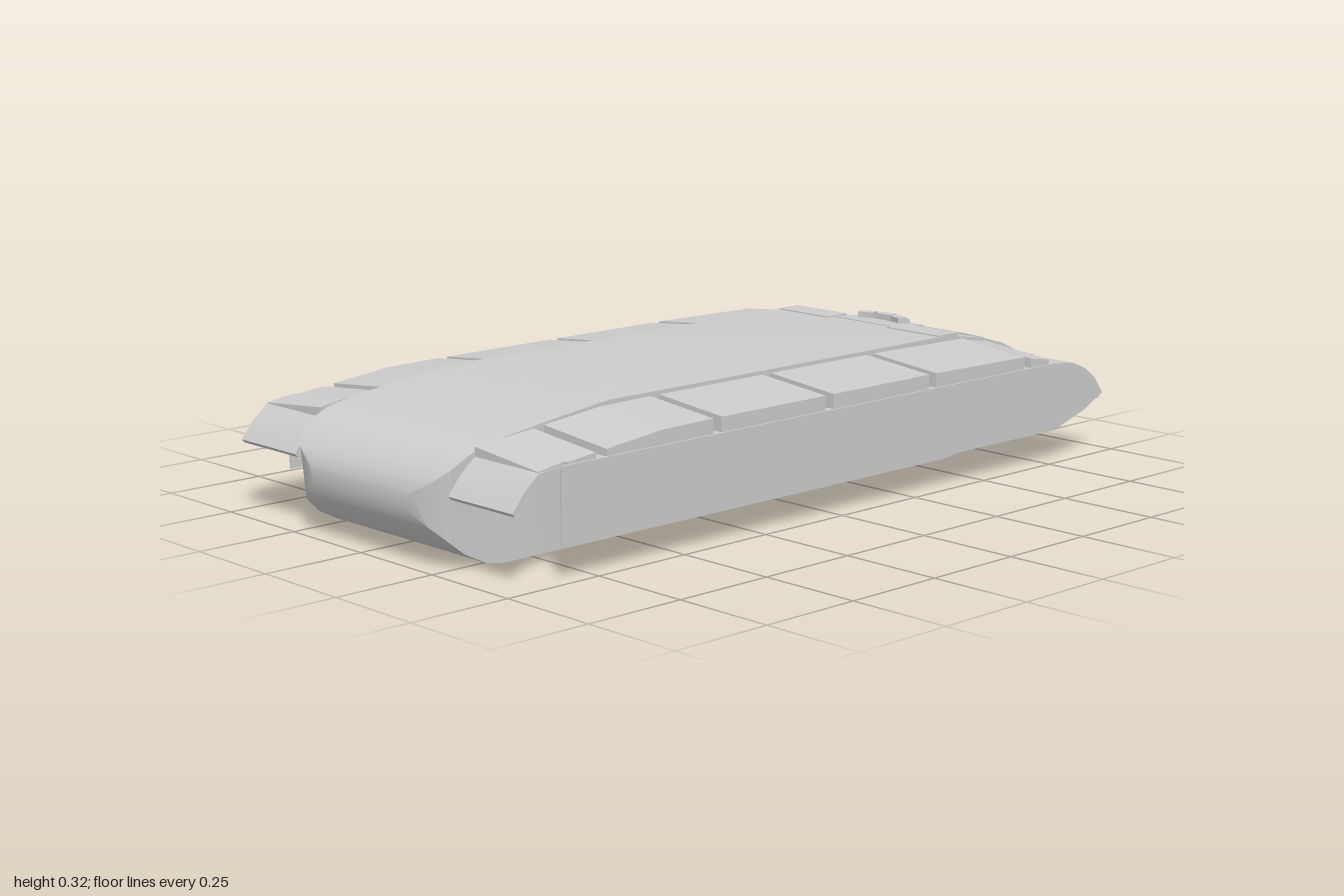
import * as THREE from 'three';
import { toCreasedNormals } from 'three/addons/utils/BufferGeometryUtils.js';

const mat = new THREE.MeshStandardMaterial({ color: 0xcccccc, side: THREE.DoubleSide });

function add(parent, name, geo) {
  const mesh = new THREE.Mesh(geo, mat);
  mesh.name = name;
  parent.add(mesh);
  return mesh;
}

// Solid through box sections along x: [x, top, bottom, halfWidth top, halfWidth bottom]
function loft(stations, zc = 0) {
  const pos = [], idx = [];
  for (const [x, t, b, w, wb = w] of stations) {
    pos.push(x, t, zc - w, x, t, zc + w, x, b, zc + wb, x, b, zc - wb);
  }
  const last = (stations.length - 1) * 4;
  for (let i = 0; i < last; i += 4) {
    for (let k = 0; k < 4; k++) {
      const a = i + k, b = i + (k + 1) % 4;
      idx.push(a, b, b + 4, a, b + 4, a + 4);
    }
  }
  idx.push(0, 2, 1, 0, 3, 2, last, last + 1, last + 2, last, last + 2, last + 3);
  const g = new THREE.BufferGeometry();
  g.setAttribute('position', new THREE.Float32BufferAttribute(pos, 3));
  g.setIndex(idx);
  return toCreasedNormals(g, 0.5);
}

// Outline in x/y pulled along z from z0 to z1
function slab(points, z0, z1) {
  const shape = new THREE.Shape(points.map(p => new THREE.Vector2(...p)));
  const g = new THREE.ExtrudeGeometry(shape, { depth: z1 - z0, bevelEnabled: false });
  g.translate(0, 0, z0);
  return toCreasedNormals(g, 0.5);
}

// Raised fender panel whose top slopes down to the outer edge
function panel(x0, x1, y0, y1, side) {
  const g = new THREE.BoxGeometry(x1 - x0, 1, 0.205);
  const p = g.attributes.position;
  for (let i = 0; i < p.count; i++) {
    const front = p.getX(i) > 0, outer = p.getZ(i) * side > 0;
    const top = (front ? y1 : y0) + (outer ? 0 : 0.02);
    p.setXYZ(i, front ? x1 : x0, p.getY(i) > 0 ? top : 0.245, side * (outer ? 0.482 : 0.277));
  }
  g.computeVertexNormals();
  return g;
}

export function createModel() {
  const model = new THREE.Group();
  model.name = 'vehicleHull';

  // Main body with rounded rear and curved bow
  add(model, 'hullBody', loft([
    [-1.0, 0.165, 0.125, 0.18, 0.17],
    [-0.985, 0.195, 0.095, 0.235, 0.22],
    [-0.96, 0.222, 0.067, 0.268, 0.25],
    [-0.92, 0.247, 0.032, 0.275, 0.262],
    [-0.87, 0.268, 0.006, 0.278, 0.272],
    [-0.83, 0.275, 0, 0.28],
    [-0.7, 0.293, 0, 0.28],
    [-0.52, 0.314, 0, 0.28],
    [0.6, 0.314, 0, 0.28],
    [0.66, 0.306, 0.007, 0.28],
    [0.75, 0.29, 0.022, 0.28],
    [0.82, 0.27, 0.045, 0.28],
    [0.89, 0.238, 0.082, 0.277],
    [0.95, 0.19, 0.128, 0.265],
  ]));

  // Central bow lip
  add(model, 'bowLip', loft([
    [0.8, 0.282, 0.06, 0.115], [0.87, 0.255, 0.075, 0.115],
    [0.93, 0.217, 0.112, 0.115], [0.97, 0.187, 0.143, 0.112], [1.0, 0.162, 0.156, 0.108],
  ]));

  // Driver's hatch surround, lid and three periscopes
  const hatch = new THREE.Group();
  hatch.name = 'driverHatch';
  model.add(hatch);
  add(hatch, 'hatchSurround', loft([
    [0.6, 0.316, 0.28, 0.1], [0.67, 0.311, 0.28, 0.1],
    [0.72, 0.304, 0.28, 0.1], [0.75, 0.297, 0.27, 0.075],
  ]));
  for (const i of [-1, 0, 1]) {
    const scope = add(hatch, 'periscope', slab(
      [[-0.018, -0.02], [0.018, -0.02], [0.018, 0.005], [0.008, 0.012], [-0.018, 0.012]], -0.022, 0.022));
    scope.position.set(0.695 - Math.abs(i) * 0.012, 0.313, i * 0.055);
    scope.rotation.y = -i * 0.35;
  }

  for (const s of [1, -1]) {
    const half = new THREE.Group();
    half.name = s > 0 ? 'leftSide' : 'rightSide';
    model.add(half);
    const span = (a, b) => s > 0 ? [a, b] : [-b, -a];

    // Deck step beside the hatch
    add(half, 'deckStep', loft([
      [0.58, 0.317, 0.28, 0.088], [0.65, 0.317, 0.28, 0.088], [0.655, 0.295, 0.28, 0.088],
    ], s * 0.19));

    // Bow brow and tow hook block
    add(half, 'bowBrow', loft([
      [0.79, 0.284, 0.2, 0.04], [0.85, 0.268, 0.17, 0.04], [0.92, 0.228, 0.15, 0.04],
    ], s * 0.155));
    add(half, 'towHook', loft([
      [0.92, 0.222, 0.13, 0.047], [0.97, 0.218, 0.145, 0.047], [0.992, 0.2, 0.16, 0.045],
    ], s * 0.215));

    // Thin fender sheet with front and rear mudguards
    const top = [[-0.972, 0.17], [-0.94, 0.21], [-0.9, 0.243], [-0.84, 0.25], [0.78, 0.25],
      [0.85, 0.242], [0.9, 0.222], [0.94, 0.192], [0.965, 0.145]];
    const under = top.map(([x, y]) => [x * 0.993, y - 0.008]).reverse();
    add(half, 'fender', slab([...top, ...under], ...span(0.275, 0.485)));

    // Raised panels separated by narrow gaps
    const panels = [[-0.9, -0.825, 0.247, 0.258], [-0.82, -0.74, 0.255, 0.263],
      [-0.71, -0.55, 0.266, 0.283], [-0.55, -0.397, 0.283, 0.285],
      [-0.37, -0.042, 0.285, 0.285], [-0.015, 0.313, 0.285, 0.285],
      [0.338, 0.667, 0.285, 0.28], [0.69, 0.76, 0.273, 0.262]];
    for (const p of panels) add(half, 'fenderPanel', panel(...p, s));

    // Side skirt
    add(half, 'sideSkirt', slab([[-0.84, 0.25], [-0.84, 0.08], [0.75, 0.08], [0.8, 0.085],
      [0.9, 0.115], [0.972, 0.15], [0.94, 0.192], [0.9, 0.222], [0.85, 0.242], [0.78, 0.25]],
      ...span(0.482, 0.487)));
  }
  return model;
}
